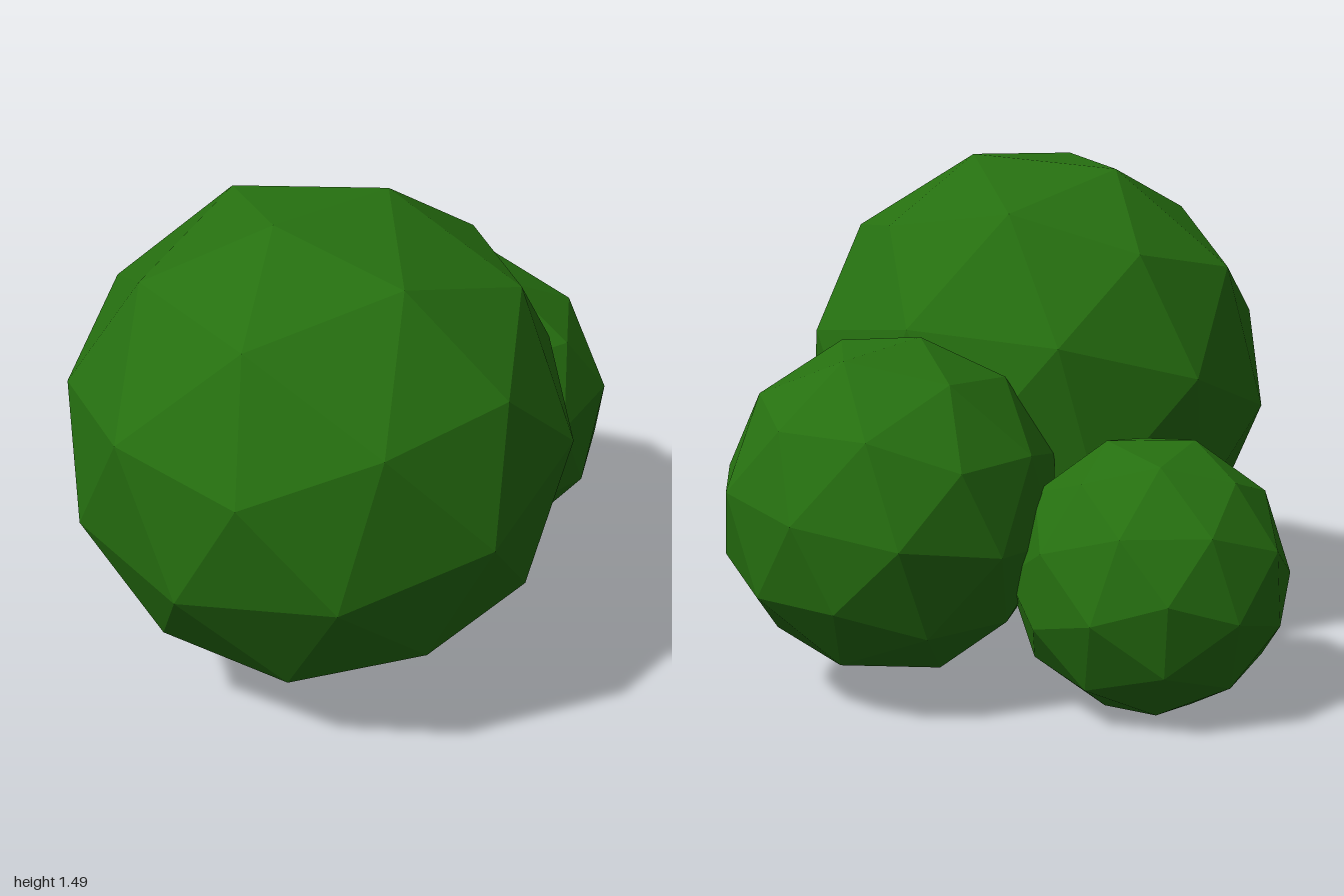
import * as THREE from 'three';

const vec = (a) => new THREE.Vector3(...a);

// Orthonormal frame from two directions
function frame(a, b) {
  const x = vec(a).normalize();
  const z = x.clone().cross(vec(b)).normalize();
  const y = z.clone().cross(x);
  return new THREE.Matrix4().makeBasis(x, y, z);
}

export function createModel() {
  const group = new THREE.Group();
  group.name = 'bush';
  const leaves = new THREE.MeshStandardMaterial({ color: 0x267010, flatShading: true });

  // Two neighbouring corners of the base icosahedron, turned onto each clump's own pair
  const t = (1 + Math.sqrt(5)) / 2;
  const restInverse = frame([-1, t, 0], [1, t, 0]).transpose();

  function clump(name, radius, center, cornerA, cornerB) {
    const mesh = new THREE.Mesh(new THREE.IcosahedronGeometry(radius, 1), leaves);
    mesh.name = name;
    mesh.quaternion.setFromRotationMatrix(frame(cornerA, cornerB).multiply(restInverse));
    mesh.position.set(...center);
    group.add(mesh);
  }

  // Leaf clumps: large in front, medium behind, small to the side
  clump('largeClump', 0.725, [0.17, 0.80, 0.30], [-0.014, 0.946, 0.324], [0.19, 0.15, 0.97]);
  clump('mediumClump', 0.485, [0.215, 0.56, -0.52], [0.23, 0.55, -0.80], [-0.17, -0.45, -0.875]);
  clump('smallClump', 0.397, [-0.49, 0.385, -0.30], [-0.96, -0.26, 0.03], [-0.655, 0.74, -0.09]);

  return group;
}
